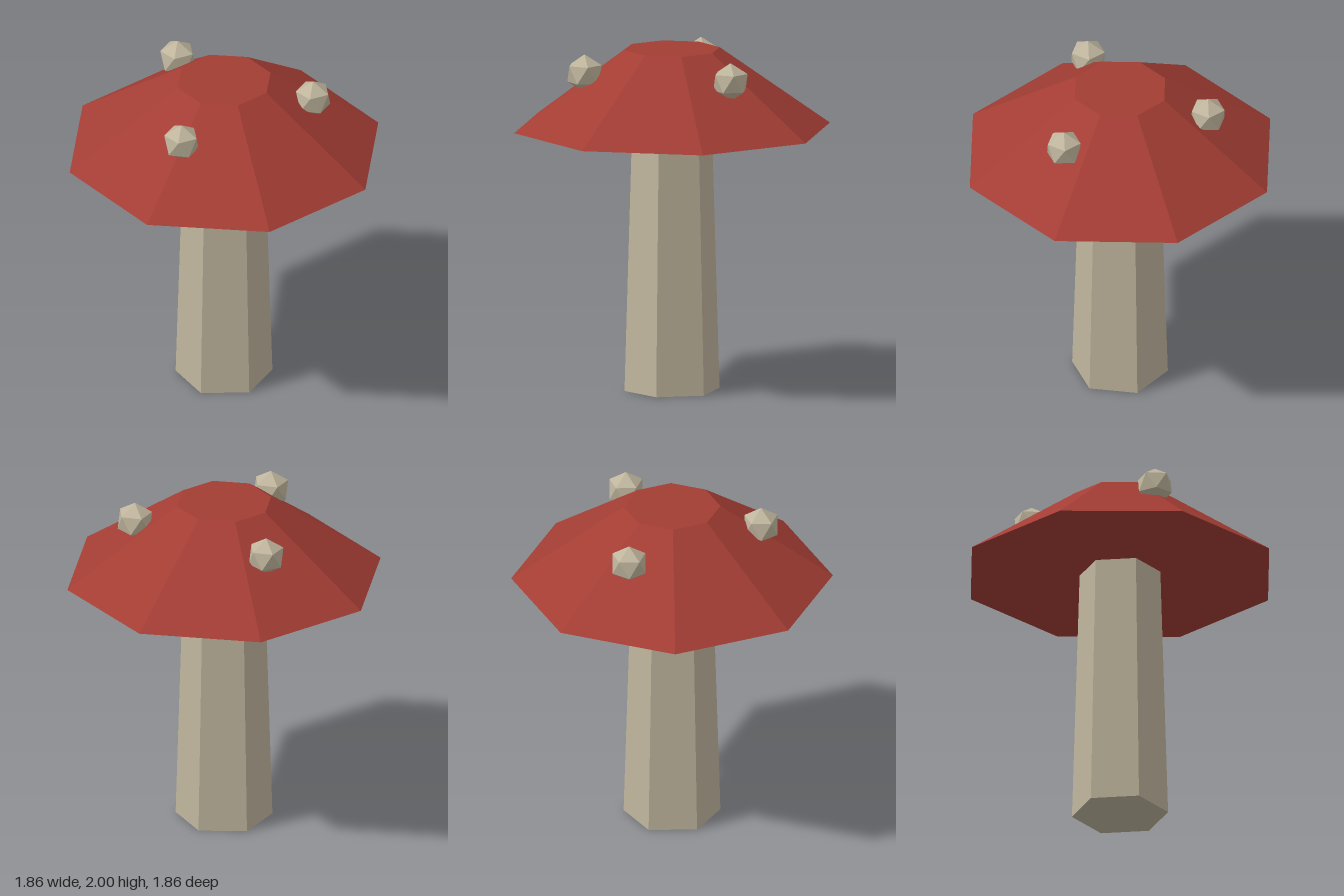
import * as THREE from 'three';

const flat = (name, color) => {
  const material = new THREE.MeshStandardMaterial({ color, flatShading: true });
  material.name = name;
  return material;
};

export function createModel() {
  const group = new THREE.Group();
  group.name = 'mushroom';
  const red = flat('cap red', 0xa33d34);
  const cream = flat('stem cream', 0xbfb59d);

  const add = (name, geometry, material, x, y, z) => {
    const mesh = new THREE.Mesh(geometry, material);
    mesh.name = name;
    mesh.position.set(x, y, z);
    group.add(mesh);
  };

  // Tapered six-sided stem, reaching the underside of the cap
  add('stem', new THREE.CylinderGeometry(0.235, 0.28, 1.54, 6), cream, 0, 0.77, 0);

  // Eight-sided cap with a flat top and underside
  add('cap', new THREE.CylinderGeometry(0.28, 0.93, 0.465, 8), red, 0, 1.7675, 0);

  // Three faceted spots around the cap, each with a corner pointing up
  const spot = new THREE.IcosahedronGeometry(0.112, 0);
  spot.rotateX(-Math.atan((1 + Math.sqrt(5)) / 2));
  spot.rotateY(Math.PI / 2);
  for (let i = 0; i < 3; i++) {
    const a = (i * Math.PI * 2) / 3;
    add('spot' + (i + 1), spot, cream, 0.515 * Math.sin(a), 1.872, 0.515 * Math.cos(a));
  }
  return group;
}
